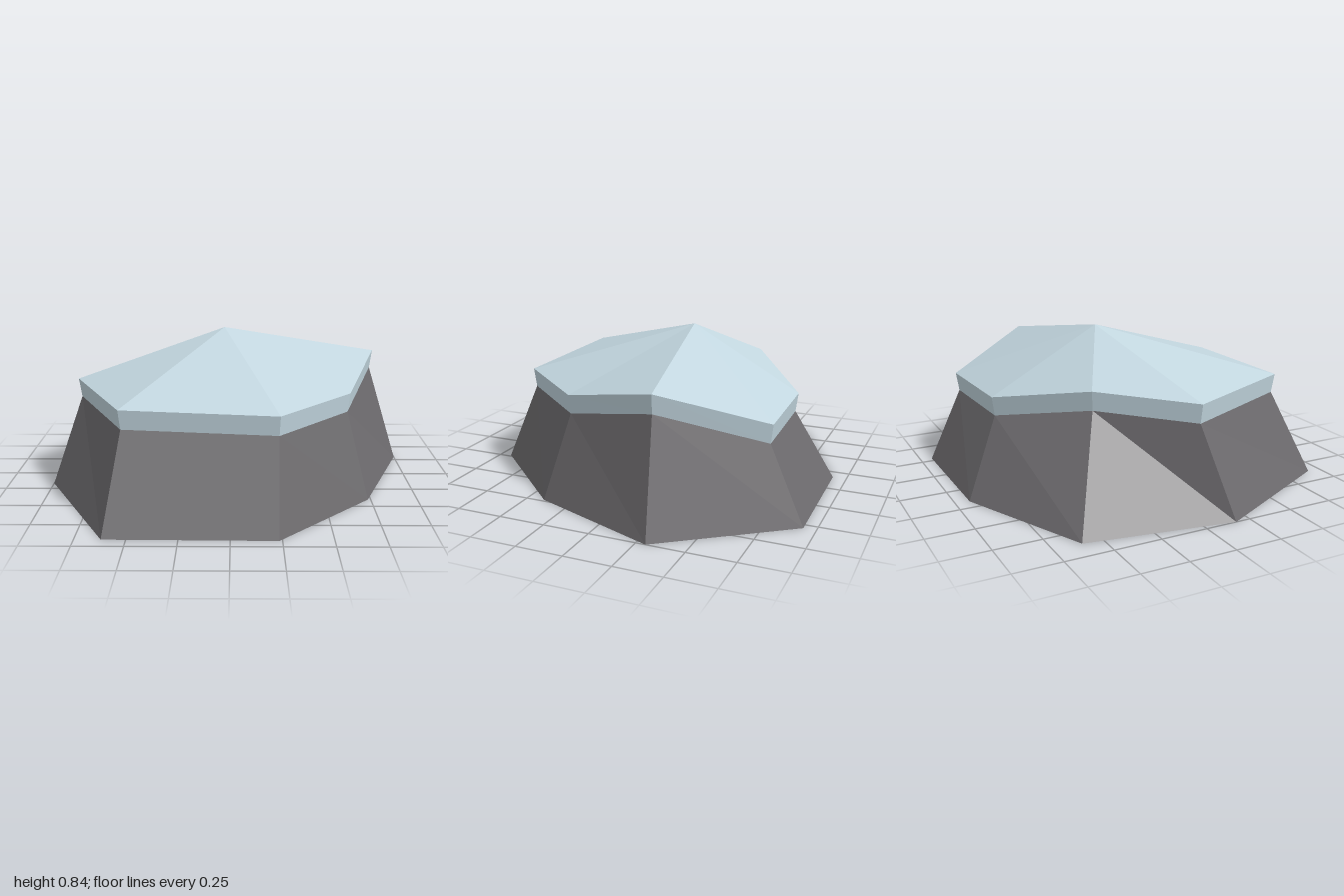
import * as THREE from 'three';

const rock = new THREE.MeshStandardMaterial({ color: 0x6d6b6e, flatShading: true, side: THREE.DoubleSide });
rock.name = 'rock grey';
const snow = new THREE.MeshStandardMaterial({ color: 0xc2d6df, flatShading: true, side: THREE.DoubleSide });
snow.name = 'snow blue';

// Ground outline [x, z], starting at the back and running towards +x
const base = [
  [-0.17, -0.925], [0.54, -0.935], [1, -0.3], [0.735, 0.405],
  [0.235, 0.935], [-0.62, 0.925], [-1, 0.17], [-0.875, -0.605],
];
// Upper rim of the snow [x, y, z], matching the outline corner by corner
const rim = [
  [-0.04, 0.505, -0.74], [0.53, 0.505, -0.765], [0.83, 0.68, -0.26], [0.635, 0.56, 0.295],
  [0.243, 0.56, 0.74], [-0.55, 0.58, 0.705], [-0.855, 0.58, 0.05], [-0.515, 0.612, -0.38],
];
const apex = [-0.04, 0.84, -0.135];

const baseRing = base.map(([x, z]) => [x, 0, z]);
// Lower snow edge: dropped and drawn slightly inwards
const snowLine = rim.map(([x, y, z]) => [x * 0.982, y - 0.102, z * 0.982]);

function facetedMesh(name, triangles, material) {
  const geometry = new THREE.BufferGeometry();
  geometry.setAttribute('position', new THREE.Float32BufferAttribute(triangles.flat(2), 3));
  geometry.computeVertexNormals();
  const mesh = new THREE.Mesh(geometry, material);
  mesh.name = name;
  return mesh;
}

// Wall of quads between two rings, facing outwards
function wall(lower, upper) {
  return lower.flatMap((a, i) => {
    const j = (i + 1) % lower.length;
    return [[lower[j], a, upper[j]], [a, upper[i], upper[j]]];
  });
}

// Fan of facets rising to a peak
function fan(ring, peak) {
  return ring.map((a, i) => [ring[(i + 1) % ring.length], a, peak]);
}

export function createModel() {
  const group = new THREE.Group();
  group.name = 'snowCappedRock';
  group.add(
    facetedMesh('rockSides', wall(baseRing, snowLine), rock),
    facetedMesh('snowEdge', wall(snowLine, rim), snow),
    facetedMesh('snowTop', fan(rim, apex), snow),
  );
  return group;
}
